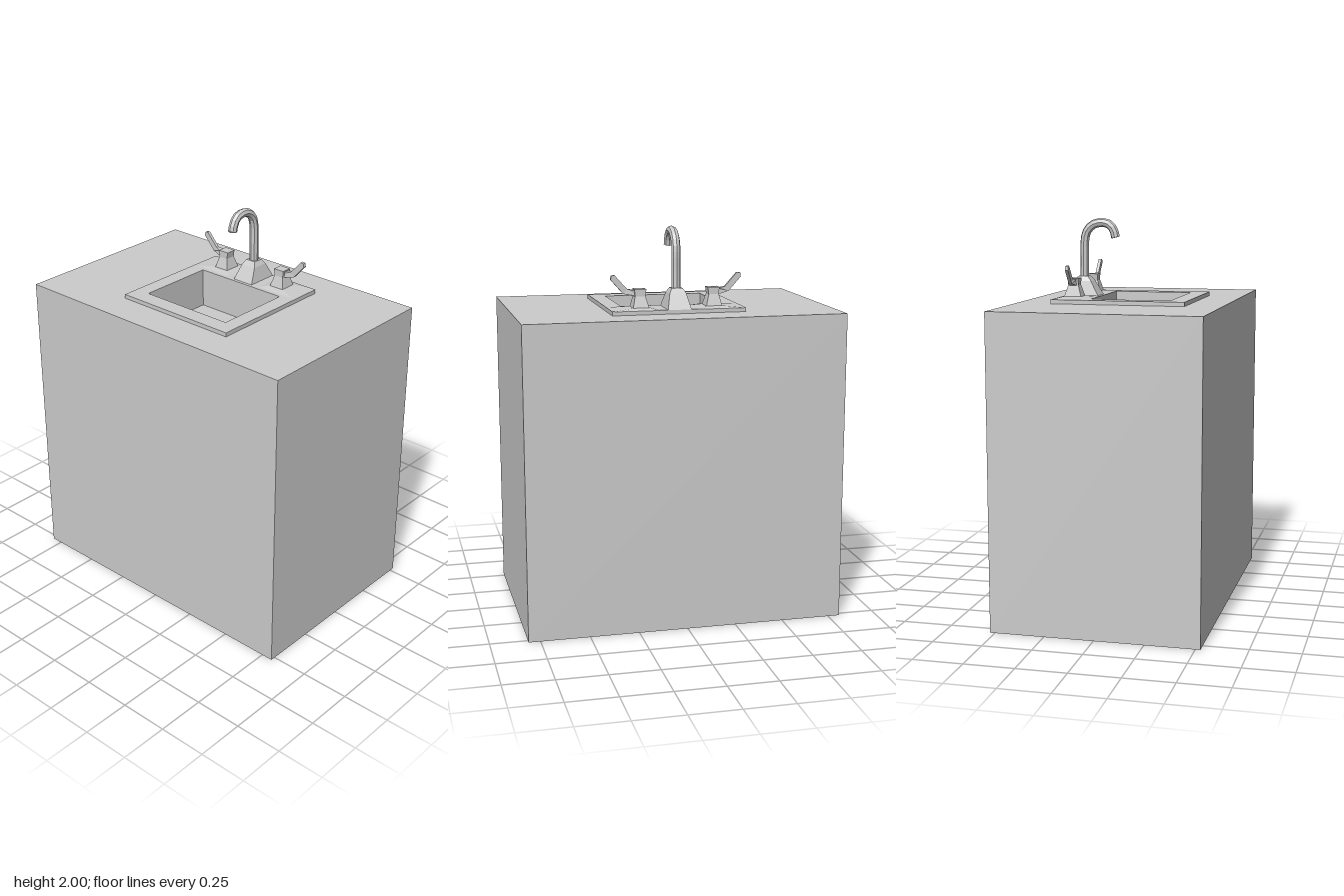
import * as THREE from 'three';

const material = new THREE.MeshStandardMaterial({ color: 0xcccccc, flatShading: true, side: THREE.DoubleSide });

function addMesh(parent, name, geometry) {
  const mesh = new THREE.Mesh(geometry, material);
  mesh.name = name;
  parent.add(mesh);
  return mesh;
}

// Joins rectangular sections [y, x0, x1, z0, z1] from bottom to top
function loft(sections, { bottom = false, top = false } = {}) {
  const points = [];
  const rings = sections.map(([y, x0, x1, z0, z1]) => [[x0, y, z1], [x1, y, z1], [x1, y, z0], [x0, y, z0]]);
  const quad = (a, b, c, d) => points.push(...a, ...b, ...c, ...a, ...c, ...d);
  for (let i = 0; i < rings.length - 1; i++) {
    const a = rings[i], b = rings[i + 1];
    for (let k = 0; k < 4; k++) {
      const n = (k + 1) % 4;
      quad(a[k], a[n], b[n], b[k]);
    }
  }
  if (bottom) quad(...[...rings[0]].reverse());
  if (top) quad(...rings[rings.length - 1]);
  const geometry = new THREE.BufferGeometry();
  geometry.setAttribute('position', new THREE.Float32BufferAttribute(points, 3));
  geometry.computeVertexNormals();
  return geometry;
}

// Flat rectangle in plan with the basin opening cut out
function plateWithOpening(halfX, halfZ) {
  const rect = (x0, x1, y0, y1) => [[x0, y0], [x1, y0], [x1, y1], [x0, y1]].map(p => new THREE.Vector2(...p));
  const shape = new THREE.Shape(rect(-halfX, halfX, -halfZ, halfZ));
  shape.holes.push(new THREE.Path(rect(-0.26, 0.26, -0.255, 0.155).reverse()));
  return shape;
}

function createHandle(side) {
  const handle = new THREE.Group();
  handle.name = side > 0 ? 'leftHandle' : 'rightHandle';
  const section = (y, x0, x1, halfZ) =>
    [y, Math.min(side * x0, side * x1), Math.max(side * x0, side * x1), -0.26 - halfZ, -0.26 + halfZ];

  // Shallow sloping foot plate
  addMesh(handle, 'handlePlate', loft([section(1.6, 0.1, 0.34, 0.086), section(1.609, 0.14, 0.23, 0.046)], { top: true }));

  // Tapered post with a slightly wider head
  addMesh(handle, 'handlePost', loft([
    section(1.605, 0.145, 0.228, 0.045),
    section(1.665, 0.162, 0.214, 0.027),
    section(1.7, 0.157, 0.217, 0.027),
  ], { top: true }));

  // Bent lever, thinner in z away from the post
  const outline = [[0.19, 1.664], [0.215, 1.664], [0.27, 1.677], [0.333, 1.748], [0.33, 1.767], [0.313, 1.77], [0.25, 1.7], [0.217, 1.694], [0.19, 1.694]];
  const shape = new THREE.Shape(outline.map(([x, y]) => new THREE.Vector2(side * x, y)));
  const lever = new THREE.ExtrudeGeometry(shape, { depth: 2, bevelEnabled: false });
  const p = lever.attributes.position;
  for (let i = 0; i < p.count; i++) {
    const t = Math.min(1, Math.max(0, (Math.abs(p.getX(i)) - 0.215) / 0.035));
    p.setZ(i, -0.26 + (p.getZ(i) - 1) * THREE.MathUtils.lerp(0.018, 0.008, t));
  }
  lever.computeVertexNormals();
  addMesh(handle, 'handleLever', lever);
  return handle;
}

export function createModel() {
  const model = new THREE.Group();
  model.name = 'sinkCabinet';

  // Cabinet, open underneath
  addMesh(model, 'cabinetWalls', loft([[0, -0.81, 0.81, -0.525, 0.525], [1.58, -0.81, 0.81, -0.525, 0.525]]));
  const counter = new THREE.ShapeGeometry(plateWithOpening(0.81, 0.525)).rotateX(-Math.PI / 2).translate(0, 1.58, 0);
  addMesh(model, 'counterTop', counter);

  // Sink rim and basin
  const rim = new THREE.ExtrudeGeometry(plateWithOpening(0.34, 0.342), { depth: 0.022, bevelEnabled: false });
  addMesh(model, 'sinkRim', rim.rotateX(-Math.PI / 2).translate(0, 1.579, 0));
  addMesh(model, 'basin', loft([[1.4, -0.26, 0.26, -0.155, 0.255], [1.59, -0.26, 0.26, -0.155, 0.255]], { bottom: true }));

  // Faucet base
  addMesh(model, 'faucetBase', loft([
    [1.6, -0.06, 0.06, -0.344, -0.172],
    [1.676, -0.042, 0.042, -0.303, -0.215],
    [1.7, -0.028, 0.028, -0.286, -0.234],
  ], { top: true }));

  // Gooseneck spout
  const path = new THREE.CatmullRomCurve3([
    [1.66, -0.26], [1.78, -0.258], [1.88, -0.257], [1.93, -0.246], [1.965, -0.213],
    [1.977, -0.165], [1.967, -0.125], [1.938, -0.102], [1.9, -0.092],
  ].map(([y, z]) => new THREE.Vector3(0, y, z)));
  addMesh(model, 'spout', new THREE.TubeGeometry(path, 18, 0.023, 8));
  const tip = new THREE.CircleGeometry(0.023, 8).rotateX(Math.PI / 2).translate(0, 1.9, -0.092);
  addMesh(model, 'spoutTip', tip);

  // Pair of lever handles
  for (const side of [-1, 1]) model.add(createHandle(side));
  return model;
}
